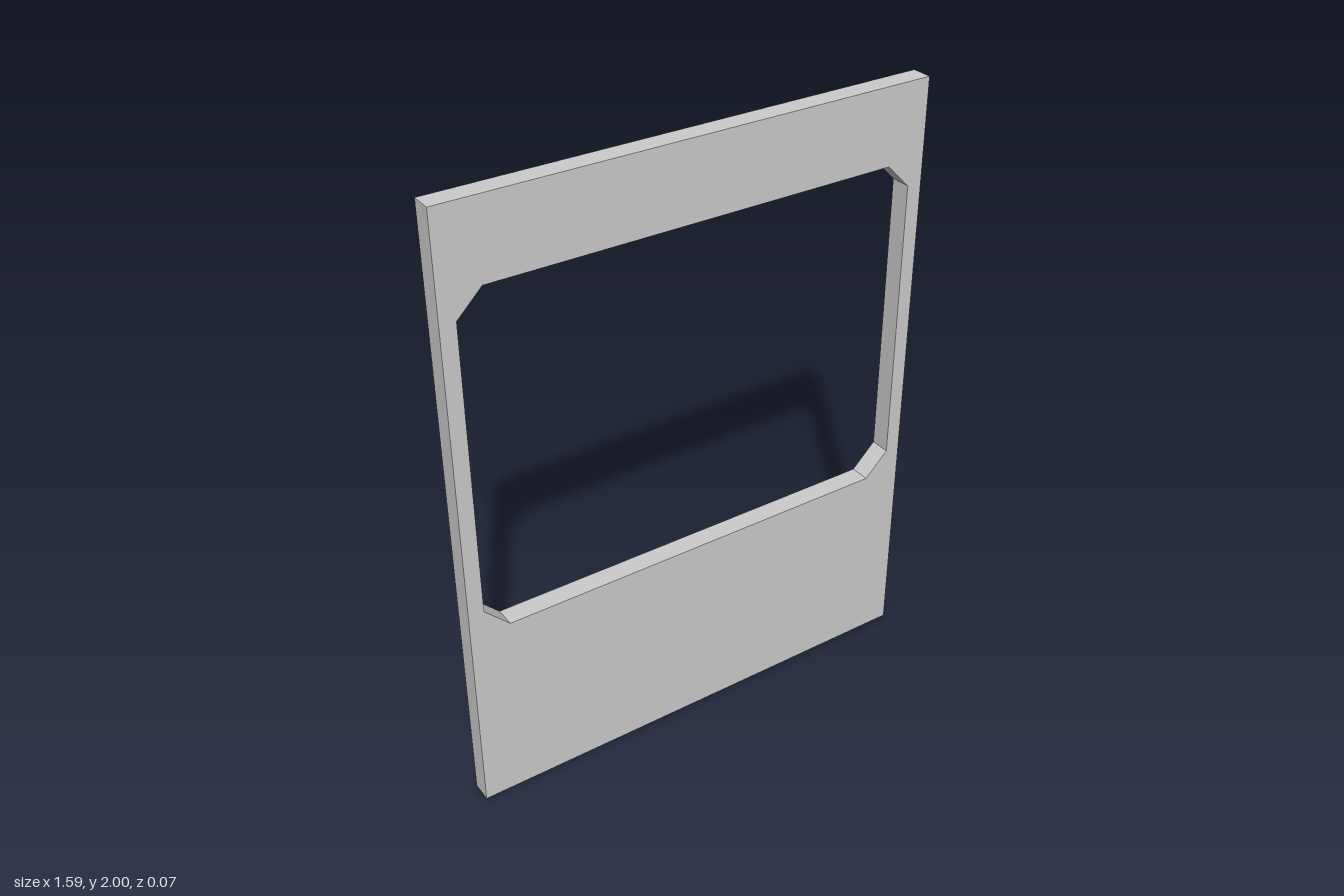
import * as THREE from 'three';

const HALF_WIDTH = 0.797, HEIGHT = 2, DEPTH = 0.067;
const OPENING = { halfWidth: 0.747, bottom: 0.644, top: 1.751, chamfer: 0.08 };

// Rectangular opening with its four corners cut at 45 degrees
function chamferedOpening({ halfWidth: w, bottom: b, top: t, chamfer: c }) {
  return new THREE.Path([
    [-w + c, b], [-w, b + c], [-w, t - c], [-w + c, t],
    [w - c, t], [w, t - c], [w, b + c], [w - c, b],
  ].map(([x, y]) => new THREE.Vector2(x, y))).closePath();
}

export function createModel() {
  const model = new THREE.Group();
  model.name = 'windowPanel';

  // Flat wall panel outline with the window cut through it
  const outline = new THREE.Shape([
    new THREE.Vector2(-HALF_WIDTH, 0),
    new THREE.Vector2(HALF_WIDTH, 0),
    new THREE.Vector2(HALF_WIDTH, HEIGHT),
    new THREE.Vector2(-HALF_WIDTH, HEIGHT),
  ]).closePath();
  outline.holes.push(chamferedOpening(OPENING));

  const geometry = new THREE.ExtrudeGeometry(outline, { depth: DEPTH, bevelEnabled: false });
  geometry.translate(0, 0, -DEPTH / 2);

  const material = new THREE.MeshStandardMaterial({ color: 0xcccccc, flatShading: true });
  const panel = new THREE.Mesh(geometry, material);
  panel.name = 'wallPanel';
  model.add(panel);
  return model;
}
